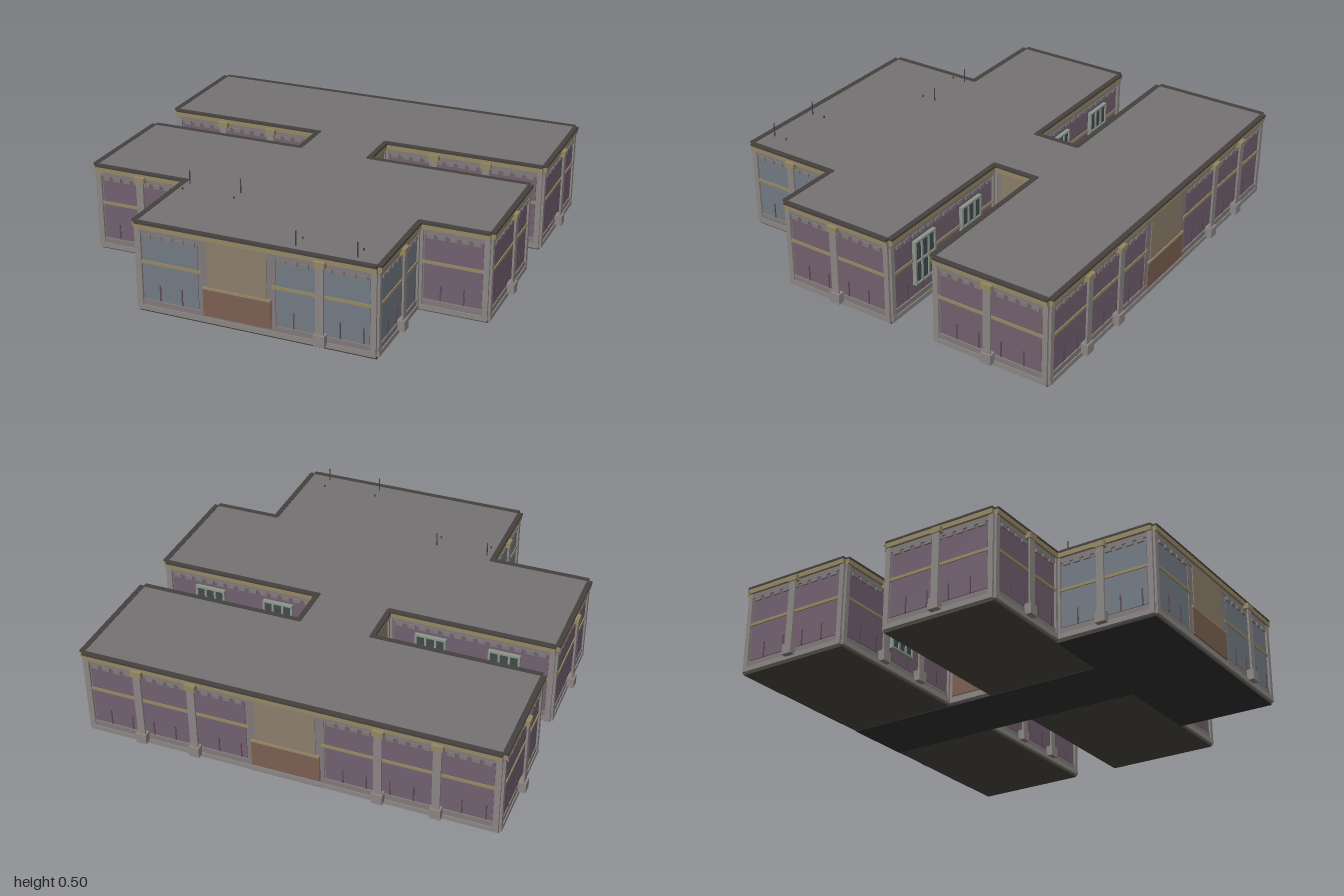
import * as THREE from 'three';

const mat = (color) => new THREE.MeshStandardMaterial({ color });
const M = {
  roof: mat(0x767273), edge: mat(0x45413e), grey: mat(0x807a79), stone: mat(0x8b8684),
  purple: mat(0x72606f), blue: mat(0x727a84), tan: mat(0x958765), beige: mat(0x8b7d6b),
  brown: mat(0x7b6050), dark: mat(0x303033), floor: mat(0x4a463f), slit: mat(0x5d4a52),
  frame: mat(0x8d968c), glass: mat(0x3f4a4c),
};

// Box spanning x0..x1, y0..y1, z0..z1
function box(parent, name, m, x0, x1, y0, y1, z0, z1) {
  const mesh = new THREE.Mesh(new THREE.BoxGeometry(x1 - x0, y1 - y0, z1 - z0), m);
  mesh.position.set((x0 + x1) / 2, (y0 + y1) / 2, (z0 + z1) / 2);
  mesh.name = name;
  parent.add(mesh);
  return mesh;
}

// Plan outline (x, z), each corner followed by what stands on the wall leaving it.
// Positions along a wall are world x or z values.
const plan = [
  { p: [-0.48, 0.915], color: 'blue', pilasters: [0.39], door: [-0.16, 0.16] },
  { p: [0.635, 0.915], color: 'blue', pilasters: [0.67] },
  { p: [0.635, 0.435], color: 'purple' },
  { p: [0.96, 0.435], color: 'purple', pilasters: [0.155] },
  { p: [0.96, -0.125], color: 'purple', windows: [0.38, 0.73] },
  { p: [0.17, -0.125], color: 'purple', door: [-0.335, -0.15] },
  { p: [0.17, -0.36], color: 'purple', pilasters: [0.43, 0.69] },
  { p: [0.96, -0.36], color: 'purple', pilasters: [-0.64] },
  { p: [0.96, -0.92], color: 'purple', pilasters: [-0.69, -0.43, 0.43, 0.69], door: [-0.16, 0.16] },
  { p: [-0.96, -0.92], color: 'purple', pilasters: [-0.64] },
  { p: [-0.96, -0.36], color: 'purple', pilasters: [-0.69, -0.43], windows: [-0.56] },
  { p: [-0.17, -0.36], color: 'purple', door: [-0.335, -0.15] },
  { p: [-0.17, -0.125], color: 'purple', windows: [-0.38, -0.73] },
  { p: [-0.96, -0.125], color: 'purple', pilasters: [0.155] },
  { p: [-0.96, 0.435], color: 'purple', pilasters: [-0.72] },
  { p: [-0.48, 0.435], color: 'blue', pilasters: [0.67] },
];

function slab(name, m, y0, y1) {
  const shape = new THREE.Shape(plan.map(({ p }) => new THREE.Vector2(p[0], -p[1])));
  const geo = new THREE.ExtrudeGeometry(shape, { depth: y1 - y0, bevelEnabled: false });
  geo.rotateX(-Math.PI / 2).translate(0, y0, 0);
  const mesh = new THREE.Mesh(geo, m);
  mesh.name = name;
  return mesh;
}

// Free-standing shaft held by a foot and a bracket
function pilaster(parent, t) {
  const g = new THREE.Group();
  g.name = 'pilaster';
  g.position.x = t;
  box(g, 'shaft', M.stone, -0.018, 0.018, 0.06, 0.4, 0.022, 0.031);
  box(g, 'foot', M.stone, -0.025, 0.025, 0.025, 0.075, 0.005, 0.04);
  box(g, 'bracket', M.tan, -0.025, 0.025, 0.385, 0.412, 0.01, 0.036);
  parent.add(g);
}

function courtWindow(parent, t) {
  const g = new THREE.Group();
  g.name = 'courtWindow';
  g.position.x = t;
  box(g, 'glass', M.glass, -0.065, 0.065, 0.13, 0.33, 0, 0.016);
  for (const x of [-0.07, -0.024, 0.024, 0.07]) box(g, 'mullion', M.frame, x - 0.005, x + 0.005, 0.12, 0.34, 0, 0.022);
  for (const y of [0.12, 0.23, 0.33]) box(g, 'rail', M.frame, -0.07, 0.07, y, y + 0.01, 0, 0.022);
  parent.add(g);
}

// Wall trim in local space: x runs along the wall, z points outwards
function wall(a, b) {
  const dx = b.p[0] - a.p[0], dz = b.p[1] - a.p[1];
  const len = Math.hypot(dx, dz), h = len / 2;
  const g = new THREE.Group();
  g.name = 'wall';
  g.position.set((a.p[0] + b.p[0]) / 2, 0, (a.p[1] + b.p[1]) / 2);
  g.rotation.y = Math.atan2(-dz, dx);
  const alongX = Math.abs(dx) > Math.abs(dz);
  const local = (w) => (alongX ? (w - g.position.x) * Math.sign(dx) : (w - g.position.z) * Math.sign(dz));

  box(g, 'plinth', M.stone, -h, h, 0.012, 0.035, 0, 0.012);
  box(g, 'skirting', M.grey, -h, h, 0.035, 0.06, 0, 0.007);
  box(g, 'frieze', M.grey, -h, h, 0.378, 0.4, 0, 0.008);
  box(g, 'cornice', M.tan, -h, h, 0.402, 0.424, 0, 0.018);
  box(g, 'corniceCap', M.edge, -h, h, 0.424, 0.434, -0.005, 0.02);
  for (const s of [-1, 1]) box(g, 'cornerPost', M.stone, s * (h - 0.012) - 0.012, s * (h - 0.012) + 0.012, 0.035, 0.402, 0, 0.011);

  // Coloured bays either side of a doorway
  let bays = [[-h + 0.03, h - 0.03]];
  if (a.door) {
    const [d0, d1] = a.door.map(local).sort((m, n) => m - n);
    box(g, 'doorSurround', M.grey, d0 - 0.02, d1 + 0.02, 0.04, 0.402, 0, 0.005);
    box(g, 'door', M.brown, d0, d1, 0.045, 0.175, 0, 0.013);
    box(g, 'doorLintel', M.tan, d0, d1, 0.172, 0.182, 0, 0.015);
    box(g, 'upperPanel', M.beige, d0 + 0.02, d1 - 0.02, 0.182, 0.395, 0, 0.009);
    bays = [[-h + 0.03, d0 - 0.025], [d1 + 0.025, h - 0.03]].filter(([s, e]) => e - s > 0.05);
  }
  for (const [s, e] of bays) {
    box(g, 'bayPanel', M[a.color], s, e, 0.065, 0.372, 0, 0.004);
    box(g, 'belt', M.tan, s - 0.02, e + 0.02, 0.237, 0.251, 0, 0.009);
    const n = Math.max(2, Math.round((e - s) / 0.055)), step = (e - s) / n;
    for (let i = 0; i < n; i++) {
      const c = s + (i + 0.5) * step;
      box(g, 'dentil', M.grey, c - step * 0.32, c + step * 0.32, 0.36, 0.378, 0, 0.012);
      if (i % 2 === 1) box(g, 'slit', M.slit, c - 0.003, c + 0.003, 0.065, 0.14, 0, 0.007);
    }
  }
  (a.pilasters || []).forEach((w) => pilaster(g, local(w)));
  (a.windows || []).forEach((w) => courtWindow(g, local(w)));
  return g;
}

export function createModel() {
  const model = new THREE.Group();
  model.name = 'building';
  model.add(slab('foundation', M.floor, 0.002, 0.03));
  model.add(slab('body', M.grey, 0.03, 0.42));
  model.add(slab('roof', M.roof, 0.42, 0.432));

  plan.forEach((a, i) => model.add(wall(a, plan[(i + 1) % plan.length])));

  // Dark floor under the front hall and central corridor
  box(model, 'hallFloor', M.dark, -0.48, 0.635, 0, 0.01, 0.435, 0.915);
  box(model, 'corridorFloor', M.dark, -0.17, 0.17, 0, 0.01, -0.92, 0.435);

  // Roof masts and low vents
  for (const [x, z] of [[-0.45, 0.475], [-0.195, 0.475], [0.255, 0.875], [0.53, 0.875]]) {
    const mast = new THREE.Mesh(new THREE.CylinderGeometry(0.003, 0.003, 0.07, 6), M.edge);
    mast.name = 'mast';
    mast.position.set(x, 0.465, z);
    model.add(mast);
    const vz = z < 0.6 ? z + 0.07 : z - 0.07;
    box(model, 'vent', M.edge, x - 0.003, x + 0.003, 0.43, 0.442, vz - 0.003, vz + 0.003);
  }
  return model;
}
